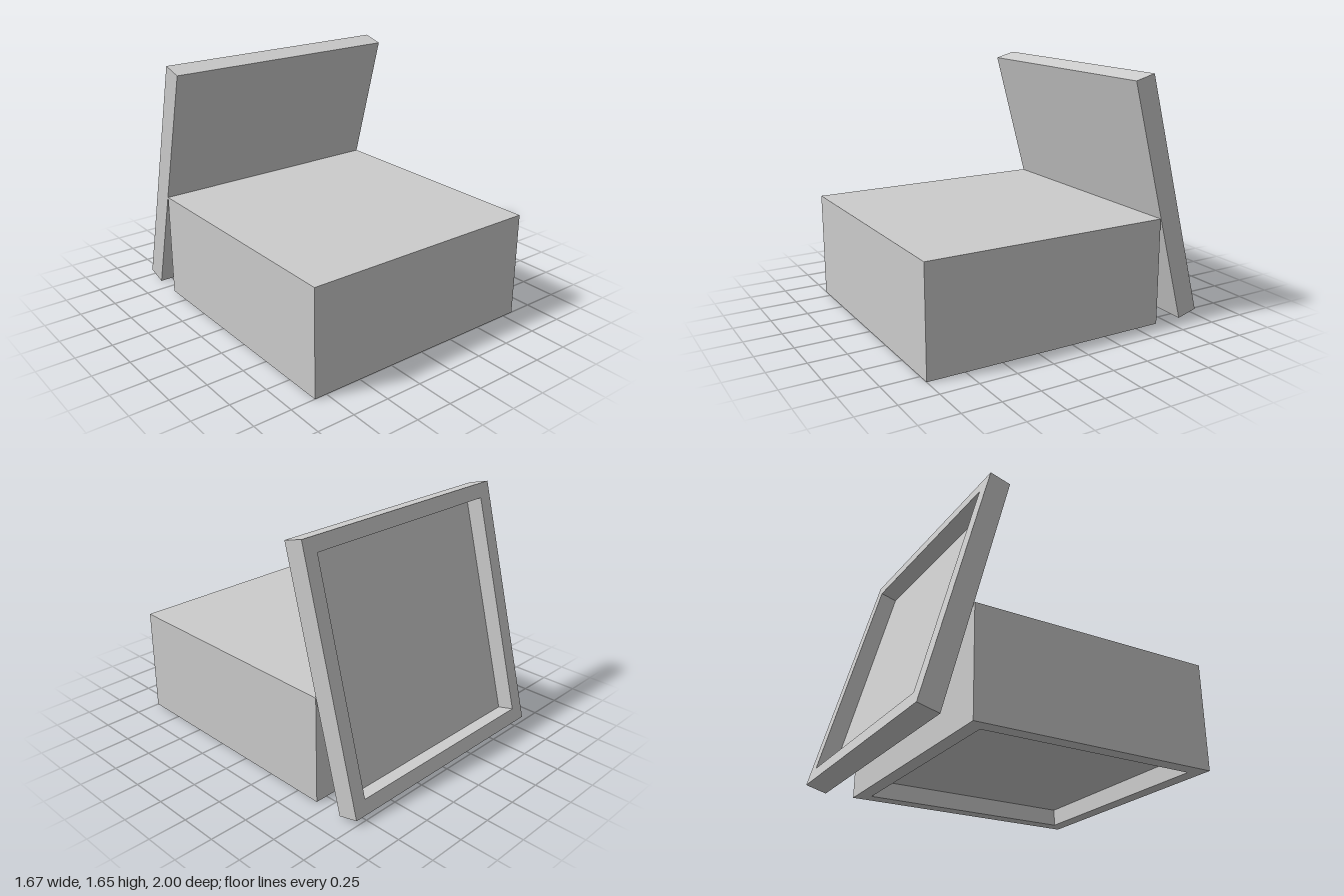
import * as THREE from 'three';

const SIDE = 1.667;    // square footprint of both parts
const RIM = 0.095;     // rim width around the recess
const RECESS = 0.115;  // recess depth
const BOX_H = 0.715;
const LID_H = 0.143;
const TILT = THREE.MathUtils.degToRad(15);

// Square block with a square recess in its underside: a four-sided lathe
function recessedBlock(name, height, material) {
  const outer = SIDE / 2, inner = outer - RIM;
  const profile = [
    [0, RECESS], [inner, RECESS], [inner, 0],
    [outer, 0], [outer, height], [0, height],
  ].map(([half, y]) => new THREE.Vector2(half * Math.SQRT2, y));
  const geometry = new THREE.LatheGeometry(profile, 4).rotateY(Math.PI / 4).toNonIndexed();
  geometry.computeVertexNormals();
  const mesh = new THREE.Mesh(geometry, material);
  mesh.name = name;
  return mesh;
}

export function createModel() {
  const model = new THREE.Group();
  model.name = 'boxWithLid';
  const material = new THREE.MeshStandardMaterial({ color: 0xcccccc, flatShading: true });

  // Box body, its front edge at z = 1
  const box = recessedBlock('box', BOX_H, material);
  box.position.z = 1 - SIDE / 2;

  // Lid stands on its edge and leans on the box, recess to the back
  const lid = recessedBlock('lid', LID_H, material);
  const sin = Math.sin(TILT), cos = Math.cos(TILT);
  lid.rotation.x = Math.PI / 2 + TILT;
  lid.position.set(0, SIDE / 2 * cos + LID_H * sin, -1 + SIDE / 2 * sin);

  model.add(box, lid);
  return model;
}
